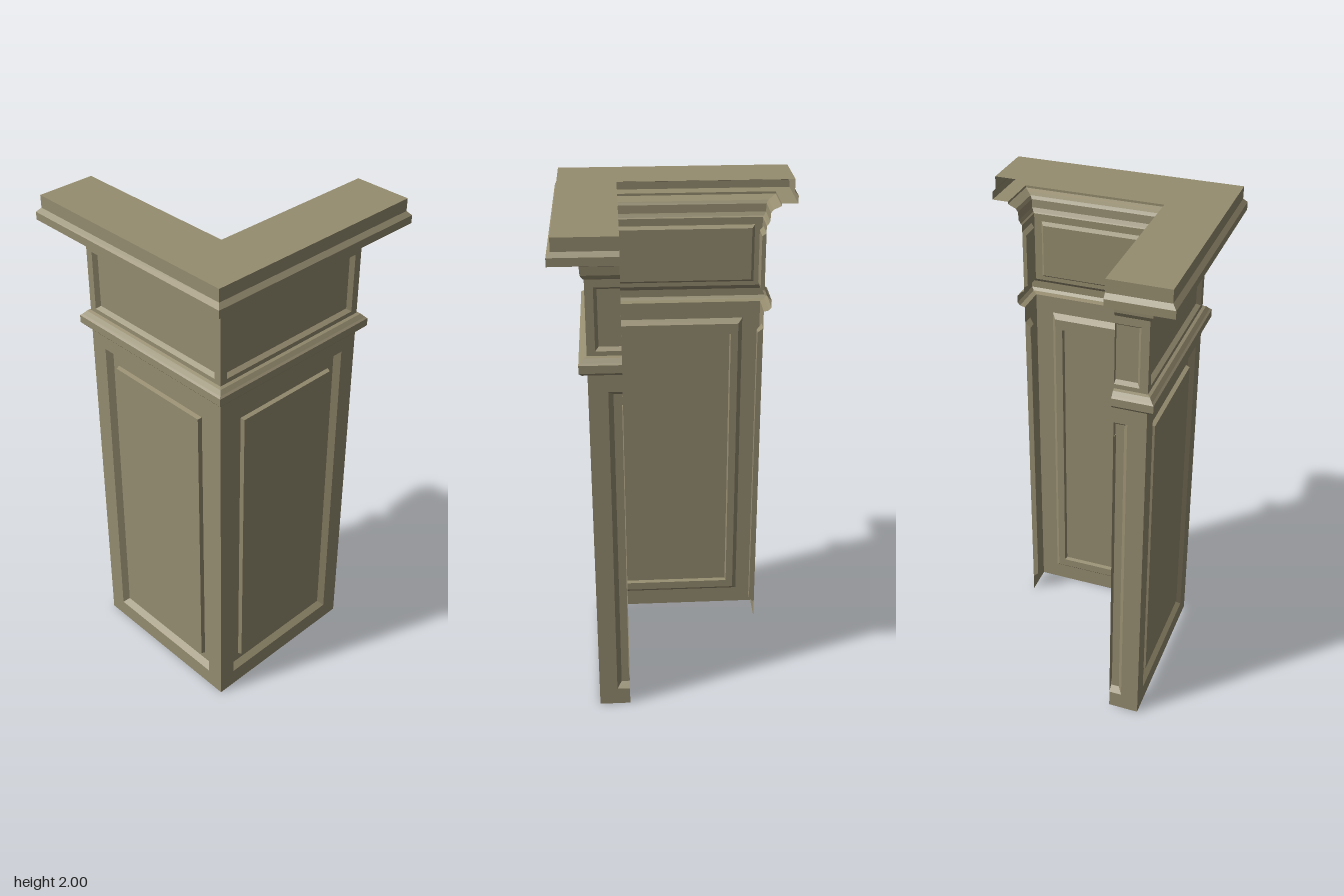
import * as THREE from 'three';

const WALL = 0.347; // distance of the wall planes from the axis
const CUT = 0.225;  // where the short returns stop

const paint = new THREE.MeshStandardMaterial({ color: 0x968d70, side: THREE.DoubleSide, flatShading: true });
paint.name = 'olive paint';

function meshFromQuads(name, quads) {
  const pos = [];
  for (const [a, b, c, d] of quads) pos.push(...a, ...b, ...c, ...a, ...c, ...d);
  const geo = new THREE.BufferGeometry();
  geo.setAttribute('position', new THREE.Float32BufferAttribute(pos, 3));
  geo.computeVertexNormals();
  const mesh = new THREE.Mesh(geo, paint);
  mesh.name = name;
  return mesh;
}

// Panelled face from nested rectangles [halfWidth, bottom, top, depth], trimmed to uMin..uMax
function panelFace(name, rings, uMin, uMax) {
  const loops = rings.map(([w, y0, y1, d]) => {
    const l = THREE.MathUtils.clamp(-w, uMin, uMax);
    const r = THREE.MathUtils.clamp(w, uMin, uMax);
    const z = WALL - d;
    return [[l, y0, z], [r, y0, z], [r, y1, z], [l, y1, z]];
  });
  const quads = [loops[loops.length - 1]];
  for (let i = 0; i + 1 < loops.length; i++) {
    for (let k = 0; k < 4; k++) {
      const n = (k + 1) % 4;
      quads.push([loops[i][k], loops[i][n], loops[i + 1][n], loops[i + 1][k]]);
    }
  }
  return meshFromQuads(name, quads);
}

// Moulding profile [distance, height], top to bottom, mitred around the walls
function moulding(name, profile) {
  const rows = profile.map(([d, y]) =>
    [[CUT, y, -d], [d, y, -d], [d, y, d], [-d, y, d], [-d, y, CUT]]);
  const quads = [];
  for (let j = 0; j + 1 < rows.length; j++) {
    for (let i = 0; i < 4; i++) {
      quads.push([rows[j][i], rows[j][i + 1], rows[j + 1][i + 1], rows[j + 1][i]]);
    }
  }
  return meshFromQuads(name, quads);
}

export function createModel() {
  const model = new THREE.Group();
  model.name = 'cornerPilaster';

  // Raised field inside a sunken frame
  const shaftRings = [
    [WALL, 0, 1.47, 0],
    [0.276, 0.074, 1.4, 0],
    [0.258, 0.095, 1.382, 0.022],
    [0.228, 0.13, 1.338, 0.022],
    [0.224, 0.134, 1.334, 0.006],
    [0.216, 0.142, 1.326, 0.006],
  ];
  // Simple sunken panel
  const friezeRings = [
    [WALL, 1.54, 1.82, 0],
    [0.317, 1.557, 1.791, 0],
    [0.305, 1.568, 1.78, 0.016],
  ];

  // Two full walls and two short returns
  const walls = [
    ['front', 0, -WALL, WALL],
    ['leftSide', Math.PI / 2, -WALL, WALL],
    ['backReturn', Math.PI, -WALL, -CUT],
    ['rightReturn', -Math.PI / 2, CUT, WALL],
  ];
  for (const [name, turn, uMin, uMax] of walls) {
    const wall = new THREE.Group();
    wall.name = name + 'Wall';
    wall.add(panelFace(name + 'ShaftPanel', shaftRings, uMin, uMax));
    wall.add(panelFace(name + 'FriezePanel', friezeRings, uMin, uMax));
    wall.rotation.y = turn;
    model.add(wall);
  }

  // Band between shaft and frieze
  model.add(moulding('neckBand', [
    [WALL, 1.54], [0.358, 1.536], [0.37, 1.522], [0.377, 1.516],
    [0.377, 1.486], [0.367, 1.475], [WALL, 1.47],
  ]));

  // Stepped cornice with a cove underneath
  model.add(moulding('cornice', [
    [0.45, 2], [0.45, 1.952], [0.465, 1.936], [0.465, 1.906], [0.402, 1.906],
    [0.402, 1.897], [0.385, 1.889], [0.37, 1.882], [0.362, 1.87],
    [0.36, 1.838], [0.352, 1.824], [WALL, 1.82],
  ]));

  // Flat L-shaped top
  const e = 0.45;
  const outline = [[-e, -e], [e, -e], [e, e], [CUT, e], [CUT, -CUT], [-e, -CUT]];
  const cap = new THREE.Mesh(
    new THREE.ShapeGeometry(new THREE.Shape(outline.map(([x, y]) => new THREE.Vector2(x, y)))), paint);
  cap.name = 'topCap';
  cap.rotation.x = -Math.PI / 2;
  cap.position.y = 2;
  model.add(cap);

  return model;
}
